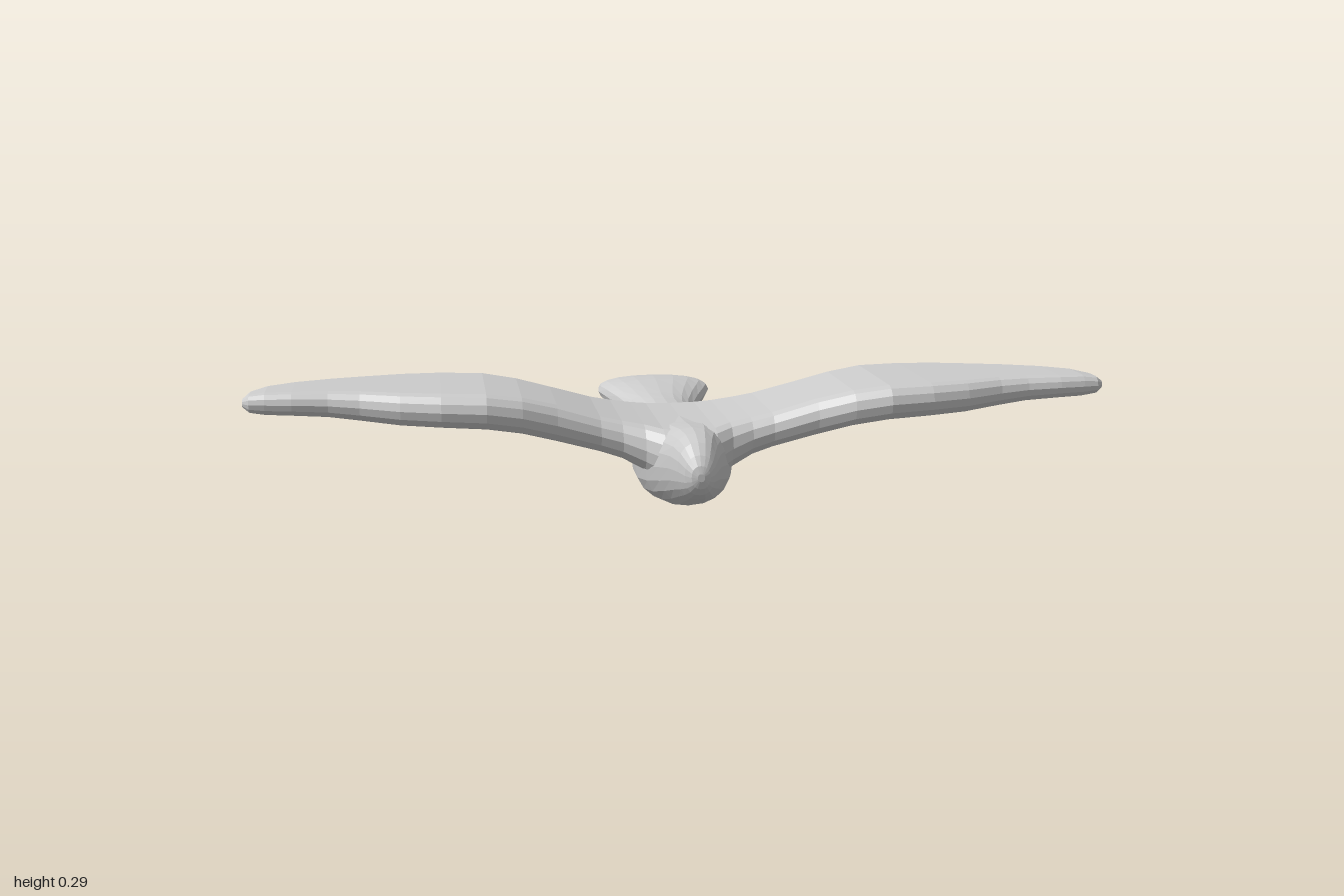
import * as THREE from 'three';

const material = new THREE.MeshStandardMaterial({ color: 0xcccccc, flatShading: true });

// Skin a closed surface over equal-sized rings of points, with fan caps at both ends.
function loft(rings, name) {
  const n = rings[0].length, positions = rings.flat(2), index = [];
  for (let i = 0; i < rings.length - 1; i++) {
    for (let k = 0; k < n; k++) {
      const a = i * n + k, b = i * n + (k + 1) % n;
      index.push(a, b, a + n, b, b + n, a + n);
    }
  }
  const last = (rings.length - 1) * n;
  for (let k = 1; k < n - 1; k++) {
    index.push(0, k + 1, k);
    index.push(last, last + k, last + k + 1);
  }
  const geometry = new THREE.BufferGeometry();
  geometry.setAttribute('position', new THREE.Float32BufferAttribute(positions, 3));
  geometry.setIndex(index);
  geometry.computeVertexNormals();
  const mesh = new THREE.Mesh(geometry, material);
  mesh.name = name;
  return mesh;
}

// Tail-to-head stations: z, half width, bottom y, top y
const bodyStations = [
  [-0.46, 0.08, 0.16, 0.187], [-0.45, 0.12, 0.146, 0.198], [-0.425, 0.143, 0.138, 0.204],
  [-0.39, 0.146, 0.13, 0.206], [-0.35, 0.132, 0.12, 0.205], [-0.3, 0.11, 0.108, 0.198],
  [-0.24, 0.087, 0.095, 0.187], [-0.18, 0.075, 0.08, 0.184], [-0.12, 0.078, 0.066, 0.184],
  [-0.05, 0.092, 0.043, 0.185], [0.03, 0.105, 0.013, 0.188], [0.1, 0.115, 0.003, 0.19],
  [0.19, 0.115, 0, 0.193], [0.26, 0.1, 0.008, 0.199], [0.32, 0.078, 0.024, 0.203],
  [0.37, 0.06, 0.042, 0.199], [0.41, 0.047, 0.057, 0.186], [0.44, 0.034, 0.073, 0.163],
  [0.455, 0.021, 0.09, 0.142], [0.46, 0.008, 0.107, 0.125],
];

// Root-to-tip stations: x, back z, front z, bottom y, top y
const wingStations = [
  [0, -0.13, 0.35, 0.07, 0.19], [0.06, -0.125, 0.335, 0.075, 0.192],
  [0.1, -0.11, 0.292, 0.092, 0.197], [0.15, -0.095, 0.273, 0.118, 0.205],
  [0.2, -0.08, 0.27, 0.135, 0.216], [0.3, -0.046, 0.29, 0.165, 0.249],
  [0.38, -0.036, 0.318, 0.19, 0.272], [0.46, -0.043, 0.335, 0.205, 0.285],
  [0.56, -0.05, 0.325, 0.21, 0.287], [0.65, -0.041, 0.3, 0.213, 0.287],
  [0.74, -0.012, 0.263, 0.22, 0.287], [0.81, 0.015, 0.249, 0.228, 0.287],
  [0.89, 0.055, 0.246, 0.233, 0.287], [0.95, 0.1, 0.238, 0.235, 0.286],
  [0.985, 0.145, 0.23, 0.24, 0.281], [1, 0.185, 0.215, 0.252, 0.27],
];

// Softly squared oval in the xy plane
function bodyRing([z, halfWidth, bottom, top]) {
  const ring = [];
  for (let k = 0; k < 20; k++) {
    const t = k / 20 * Math.PI * 2, c = Math.cos(t), s = Math.sin(t);
    const x = Math.sign(c) * Math.abs(c) ** 0.88 * halfWidth;
    const y = (top + bottom) / 2 + Math.sign(s) * Math.abs(s) ** 0.88 * (top - bottom) / 2;
    ring.push([x, y, z]);
  }
  return ring;
}

// Flat slab with rounded leading and trailing edges in the yz plane
function wingRing([x, back, front, bottom, top]) {
  const ring = [], r = (top - bottom) / 2, y = (top + bottom) / 2;
  const round = Math.min(r, (front - back) / 2);
  const arc = (centre, start) => {
    for (let k = 0; k <= 6; k++) {
      const t = start + k / 6 * Math.PI;
      ring.push([x, y + r * Math.cos(t), centre + round * Math.sin(t)]);
    }
  };
  const span = (from, to, height) => {
    for (let k = 1; k < 5; k++) ring.push([x, height, from + (to - from) * k / 5]);
  };
  const f = front - round, b = back + round;
  arc(f, 0);
  span(f, b, bottom);
  arc(b, Math.PI);
  span(b, f, top);
  return ring;
}

export function createModel() {
  const bird = new THREE.Group();
  bird.name = 'glidingBird';

  // Head, breast and fanned tail
  bird.add(loft(bodyStations.map(bodyRing), 'body'));

  // Both wings as one continuous span
  const mirrored = wingStations.slice(1).reverse().map(([x, ...rest]) => [-x, ...rest]);
  bird.add(loft([...mirrored, ...wingStations].map(wingRing), 'wings'));

  return bird;
}
